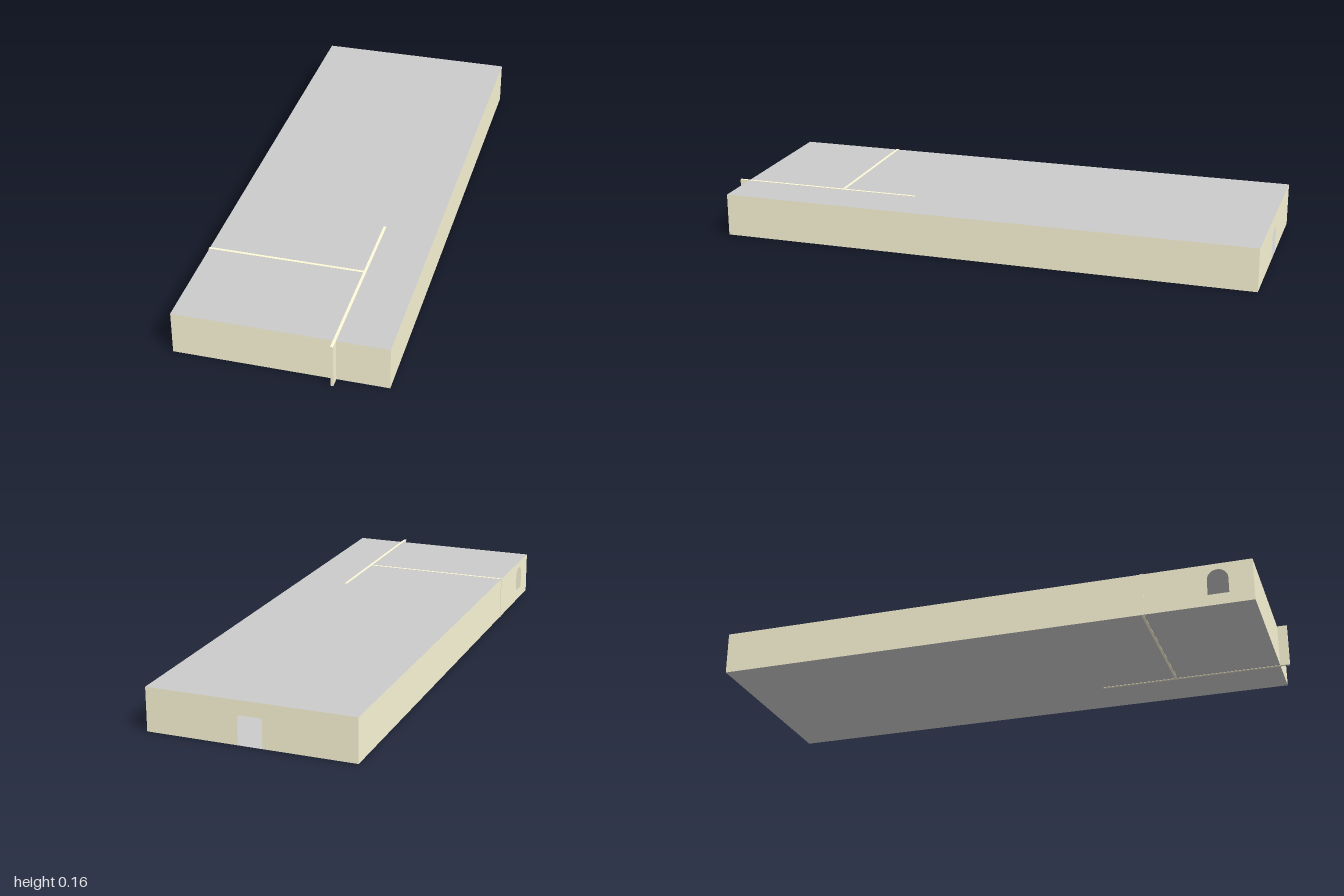
import * as THREE from 'three';

const X0 = -0.37, X1 = 0.371, Z0 = -1, Z1 = 0.965, Y0 = 0.001, Y1 = 0.157;

export function createModel() {
  const model = new THREE.Group();
  const wallMat = new THREE.MeshStandardMaterial({ color: 0xfffada, side: THREE.DoubleSide });
  const slabMat = new THREE.MeshStandardMaterial({ color: 0xcccccc, side: THREE.DoubleSide });

  const add = (name, geometry, material) => {
    const mesh = new THREE.Mesh(geometry, material);
    mesh.name = name;
    model.add(mesh);
    return mesh;
  };

  // Upright sheet outline: u runs along the wall, v is height
  const wallShape = (u0, u1) => new THREE.Shape([
    new THREE.Vector2(u0, Y0), new THREE.Vector2(u1, Y0),
    new THREE.Vector2(u1, Y1), new THREE.Vector2(u0, Y1),
  ]);

  // Front wall, plain
  add('frontWall', new THREE.ShapeGeometry(wallShape(X0, X1)), wallMat).position.z = Z1;

  // Back wall with a doorway cut up from the floor
  const doorHalf = 0.043, doorTop = 0.105, r = 0.006;
  const back = new THREE.Shape();
  back.moveTo(X0, Y0);
  back.lineTo(-doorHalf, Y0);
  back.lineTo(-doorHalf, doorTop - r);
  back.quadraticCurveTo(-doorHalf, doorTop, -doorHalf + r, doorTop);
  back.lineTo(doorHalf - r, doorTop);
  back.quadraticCurveTo(doorHalf, doorTop, doorHalf, doorTop - r);
  back.lineTo(doorHalf, Y0);
  back.lineTo(X1, Y0);
  back.lineTo(X1, Y1);
  back.lineTo(X0, Y1);
  // Turned outward; the doorway is symmetric, so only the ends need swapping
  const backGeo = new THREE.ShapeGeometry(back).rotateY(Math.PI).translate(X0 + X1, 0, Z0);
  add('backWall', backGeo, wallMat);

  // Long walls; the u axis maps to +z on the -x side and to -z on the +x side
  const windowed = wallShape(Z0, Z1);
  const winZ = 0.842, winR = 0.037, sill = 0.042, spring = 0.098;
  const arch = new THREE.Path();
  arch.moveTo(winZ - winR, sill);
  arch.lineTo(winZ - winR, spring);
  arch.absarc(winZ, spring, winR, Math.PI, 0, true);
  arch.lineTo(winZ + winR, sill);
  arch.closePath();
  windowed.holes.push(arch);
  add('rightWall', new THREE.ShapeGeometry(windowed, 16).rotateY(-Math.PI / 2), wallMat).position.x = X0;
  add('leftWall', new THREE.ShapeGeometry(wallShape(-Z1, -Z0)).rotateY(Math.PI / 2), wallMat).position.x = X1;

  // Floor and roof sheets
  for (const [name, y, turn] of [['floor', Y0, Math.PI / 2], ['roof', Y1, -Math.PI / 2]]) {
    const sheet = new THREE.PlaneGeometry(X1 - X0, Z1 - Z0).rotateX(turn);
    add(name, sheet, slabMat).position.set((X0 + X1) / 2, y, (Z0 + Z1) / 2);
  }

  // Partitions reach just past the floor and roof
  const partition = (name, x0, x1, z0, z1) => {
    const h = 0.1585;
    add(name, new THREE.BoxGeometry(x1 - x0, h, z1 - z0), wallMat)
      .position.set((x0 + x1) / 2, h / 2, (z0 + z1) / 2);
  };
  partition('longPartition', 0.181, 0.191, 0.295, 1);
  partition('crossPartition', -0.372, 0.181, 0.573, 0.583);

  return model;
}
